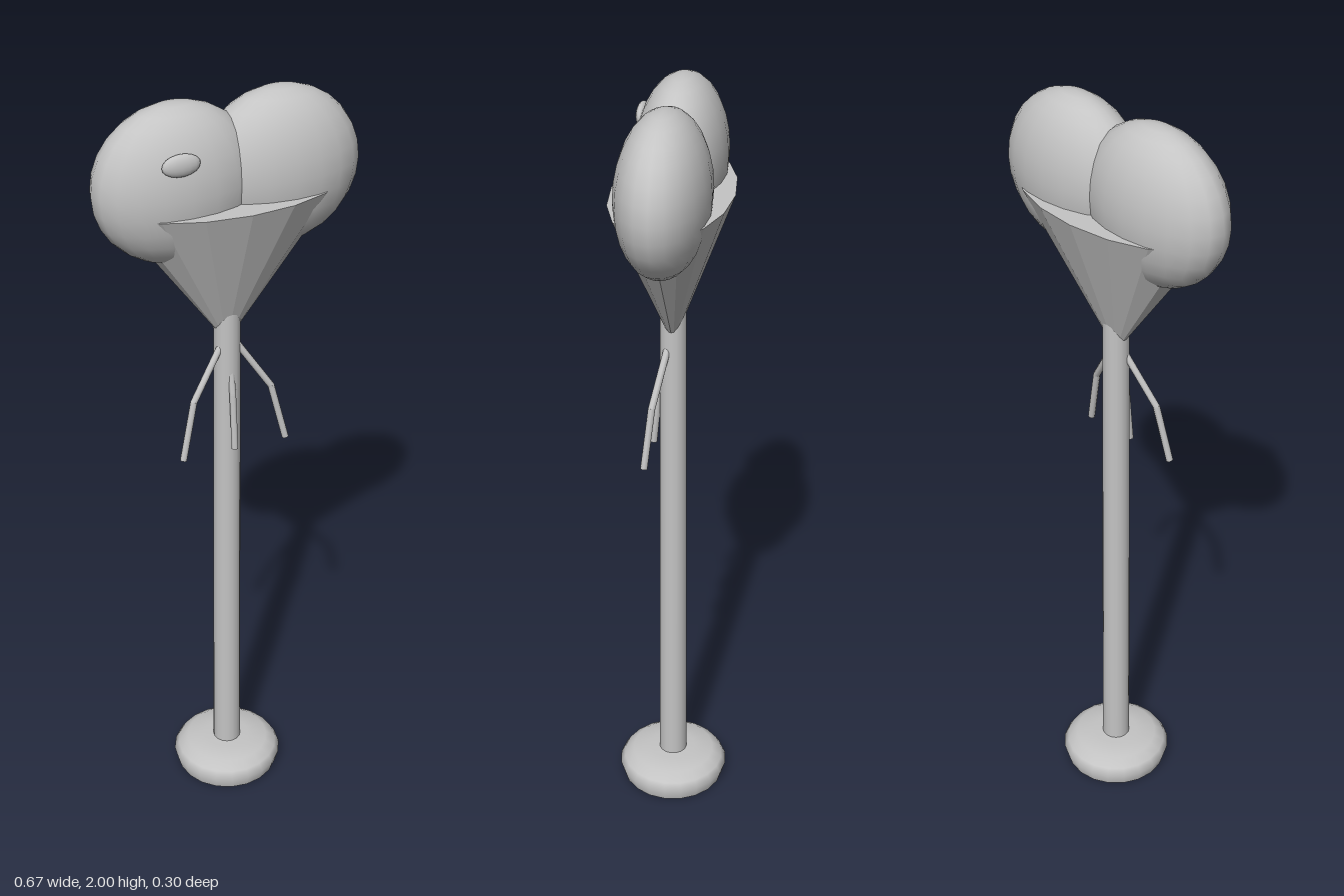
import * as THREE from 'three';

export function createModel() {
  const model = new THREE.Group();
  const grey = new THREE.MeshStandardMaterial({ color: 0xc4c4c4 });
  grey.name = 'plain grey';

  function add(name, geometry, x = 0, y = 0, z = 0) {
    const mesh = new THREE.Mesh(geometry, grey);
    mesh.name = name;
    mesh.position.set(x, y, z);
    model.add(mesh);
    return mesh;
  }

  // Rounded foot with a flat underside
  const footProfile = [[0.14, 0], [0.15, 0.035], [0.138, 0.055], [0.112, 0.074], [0.06, 0.08], [0, 0.081]]
    .map(([r, y]) => new THREE.Vector2(r, y));
  add('foot', new THREE.LatheGeometry(footProfile, 20));
  add('footUnderside', new THREE.CircleGeometry(0.14, 20).rotateX(Math.PI / 2));

  // Slightly tapered stem
  add('stem', new THREE.CylinderGeometry(0.033, 0.038, 1.4, 16), 0, 0.77, 0);

  // Oval faceted cone, point down, closed at the rim
  const cone = new THREE.CylinderGeometry(1, 0, 0.4, 16).scale(0.29, 1, 0.148).toNonIndexed();
  cone.computeVertexNormals();
  add('cone', cone, 0, 1.56, 0);

  // Pair of flattened lobes
  for (const side of [-1, 1]) {
    add(side < 0 ? 'rightLobe' : 'leftLobe',
      new THREE.SphereGeometry(1, 20, 14).scale(0.205, 0.195, 0.112), side * 0.13, 1.805, 0);
  }

  // Oval button on the front of the right lobe
  add('button', new THREE.SphereGeometry(1, 16, 10).scale(0.047, 0.027, 0.014), -0.155, 1.89, 0.101);

  // Three thin bent twigs: right, middle and left
  [['rightTwig', -1], ['middleTwig', 0], ['leftTwig', 1]].forEach(([name, side]) => {
    const points = [[0.02, 1.36, 0.01], [0.105, 1.23, 0.036], [0.14, 1.08, 0.05]]
      .map(([x, y, z]) => new THREE.Vector3(side * x, y, z));
    const twig = new THREE.Group();
    twig.name = name;
    for (let i = 0; i < 2; i++) {
      const direction = points[i + 1].clone().sub(points[i]);
      const segment = add('twigSegment', new THREE.CylinderGeometry(0.009, 0.009, direction.length() + 0.004, 8));
      segment.position.copy(points[i]).addScaledVector(direction, 0.5);
      segment.quaternion.setFromUnitVectors(new THREE.Vector3(0, 1, 0), direction.normalize());
      twig.add(segment);
    }
    model.add(twig);
  });

  return model;
}
